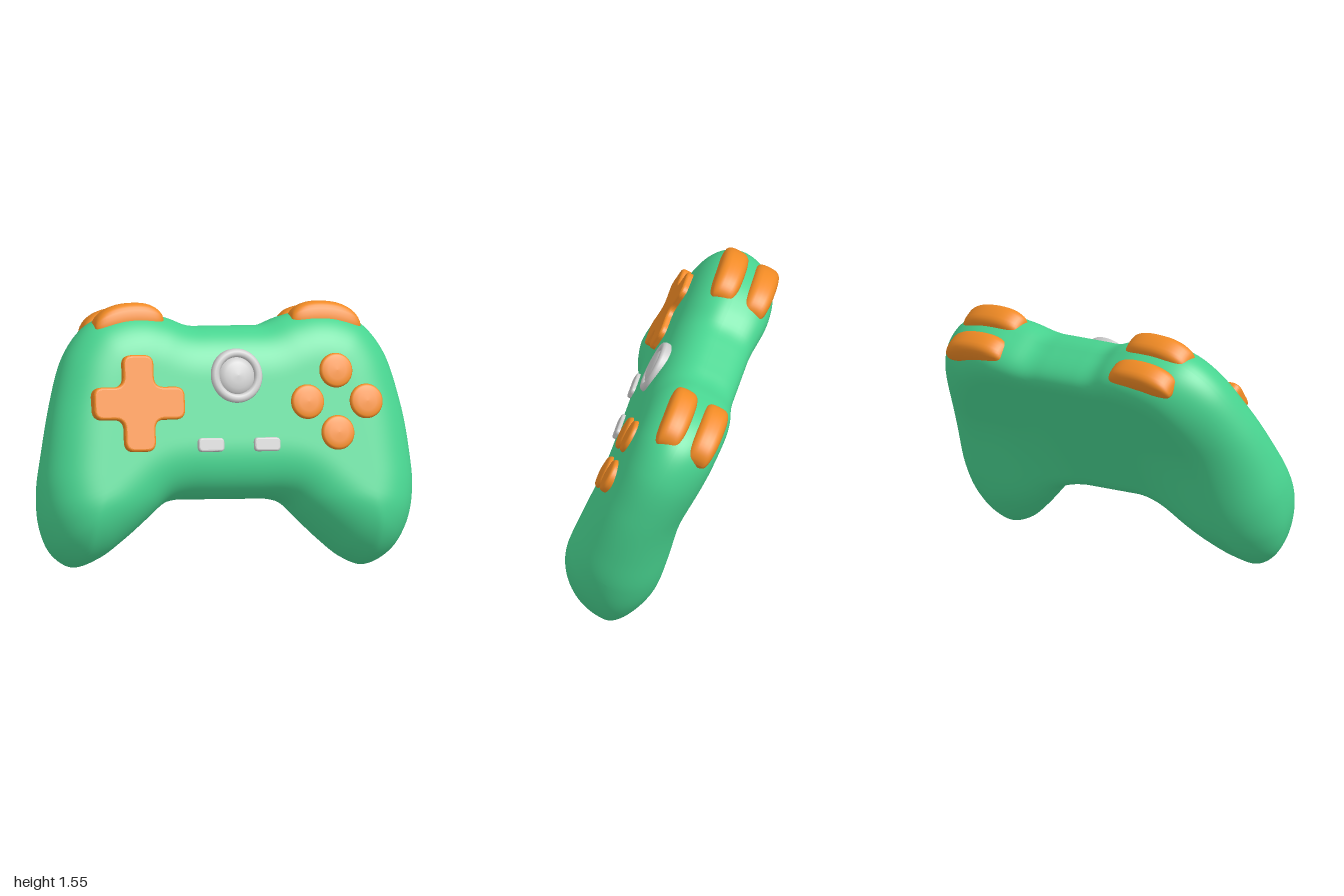
import * as THREE from 'three';

const { clamp, smoothstep, lerp } = THREE.MathUtils;
const paint = (color) => new THREE.MeshStandardMaterial({ color });
const green = paint(0x48d490), orange = paint(0xf08a24), grey = paint(0xcccccc);

// Right half of the body outline, from top centre round the grip to bottom centre
const half = new THREE.CatmullRomCurve3([
  [0, 0.428], [0.1, 0.428], [0.21, 0.431], [0.33, 0.475], [0.48, 0.506], [0.64, 0.493], [0.78, 0.43],
  [0.9, 0.28], [0.985, 0.02], [1.035, -0.25], [1.055, -0.45], [1.03, -0.64], [0.955, -0.78],
  [0.83, -0.85], [0.7, -0.81], [0.57, -0.715], [0.44, -0.6], [0.35, -0.522], [0.27, -0.5], [0.12, -0.498], [0, -0.498],
].map(([x, y]) => new THREE.Vector3(x, y, 0))).getPoints(240);
const tip = half.reduce((best, p, i) => (p.x > half[best].x ? i : best), 0);
const uMax = half[tip].x;
const topLine = half.slice(0, tip + 1);
const bottomLine = half.slice(tip).reverse();

// Height of an outline branch at a given |u|
function heightAt(line, u) {
  for (let i = 1; i < line.length; i++) {
    const a = line[i - 1], b = line[i];
    if (u <= b.x) return lerp(a.y, b.y, clamp((u - a.x) / (b.x - a.x || 1), 0, 1));
  }
  return line[line.length - 1].y;
}

// Shortest distance from a point to the outline
function edgeDistance(u, v) {
  let best = Infinity;
  for (let i = 1; i < half.length; i++) {
    const a = half[i - 1], dx = half[i].x - a.x, dy = half[i].y - a.y;
    const t = clamp(((u - a.x) * dx + (v - a.y) * dy) / (dx * dx + dy * dy || 1), 0, 1);
    best = Math.min(best, Math.hypot(a.x + t * dx - u, a.y + t * dy - v));
  }
  return best;
}

// Seam depth, then the depth, rim radius and roundness power of each face
const seamW = (v) => -0.23 - 0.18 * Math.min(0, v / 0.84) ** 2;
const front = {
  depth: (u, v) => -0.02 - 0.1 * smoothstep(-v, 0.5, 0.95),
  radius: () => 0.3,
  power: () => 2.2,
};
const back = {
  depth: (u, v) => -0.45 - 0.025 * smoothstep(u, 0.15, 0.45) - 0.085 * smoothstep(u, 0.15, 0.7) * smoothstep(-v, 0, 0.6),
  radius: (u) => lerp(0.14, 0.31, smoothstep(u, 0.2, 0.9)),
  power: (u) => lerp(3.2, 2, smoothstep(u, 0.2, 0.9)),
};

// One half shell: swells from the seam to its face over a rounded rim
function shell(face, flip) {
  const NU = 128, NV = 56, pos = [], index = [];
  for (let i = 0; i <= NU; i++) {
    const x = -uMax * Math.cos((Math.PI * i) / NU), u = Math.abs(x), n = face.power(u);
    const lo = heightAt(bottomLine, u), hi = heightAt(topLine, u);
    for (let j = 0; j <= NV; j++) {
      const v = lerp(lo, hi, 0.5 - 0.5 * Math.cos((Math.PI * j) / NV));
      const rim = j === 0 || j === NV || i === 0 || i === NU;
      const d = rim ? 0 : Math.min(edgeDistance(u, v) / face.radius(u), 1);
      const swell = (1 - (1 - d) ** n) ** (1 / n);
      pos.push(x, v, lerp(seamW(v), face.depth(u, v), swell));
      if (i < NU && j < NV) {
        const a = i * (NV + 1) + j, b = a + NV + 1;
        if (flip) index.push(a, b + 1, b, a, a + 1, b + 1);
        else index.push(a, b, b + 1, a, b + 1, a + 1);
      }
    }
  }
  const geo = new THREE.BufferGeometry();
  geo.setAttribute('position', new THREE.Float32BufferAttribute(pos, 3));
  geo.setIndex(index);
  geo.computeVertexNormals();
  return geo;
}

// Polygon with every corner rounded
function roundedShape(points, r) {
  const shape = new THREE.Shape();
  const pts = points.map(([x, y]) => new THREE.Vector2(x, y));
  pts.forEach((p, i) => {
    const prev = pts[(i + pts.length - 1) % pts.length], next = pts[(i + 1) % pts.length];
    const a = p.clone().add(prev.clone().sub(p).setLength(r));
    const b = p.clone().add(next.clone().sub(p).setLength(r));
    if (i) shape.lineTo(a.x, a.y); else shape.moveTo(a.x, a.y);
    shape.quadraticCurveTo(p.x, p.y, b.x, b.y);
  });
  shape.closePath();
  return shape;
}

// Extrusion between two depths, with a rounded bevel kept inside the shape
function slab(shape, from, to, bevel) {
  const geo = new THREE.ExtrudeGeometry(shape, {
    depth: to - from - 2 * bevel, bevelSize: bevel, bevelThickness: bevel,
    bevelOffset: -bevel, bevelSegments: 5, curveSegments: 10,
  });
  return geo.translate(0, 0, from + bevel);
}

// Shoulder button: an oval section swept along the top edge, fading out at both ends
function shoulder(side, depth, drop) {
  const N = 28, M = 24, u0 = 0.365, u1 = 0.755, pos = [], index = [];
  for (let i = 0; i <= N; i++) {
    const t = -Math.cos((Math.PI * i) / N), u = lerp(u0, u1, 0.5 + 0.5 * t);
    const size = (1 - Math.abs(t) ** 3.5) ** (1 / 2.5);
    const y = heightAt(topLine, u) - 0.03 - drop;
    for (let j = 0; j < M; j++) {
      const a = (2 * Math.PI * j) / M, c = Math.cos(a), s = Math.sin(a);
      const wide = 0.074 * Math.sign(c) * Math.abs(c) ** 0.7;
      const tall = 0.075 * Math.sign(s) * Math.abs(s) ** 0.7;
      pos.push(side * u, y + tall * size, depth + wide * (0.5 + 0.5 * size));
      if (i < N) {
        const p = i * M + j, q = i * M + ((j + 1) % M), P = p + M, Q = q + M;
        if (side > 0) index.push(p, P, Q, p, Q, q);
        else index.push(p, Q, P, p, q, Q);
      }
    }
  }
  const geo = new THREE.BufferGeometry();
  geo.setAttribute('position', new THREE.Float32BufferAttribute(pos, 3));
  geo.setIndex(index);
  geo.computeVertexNormals();
  return geo;
}

const lathe = (pts) => new THREE.LatheGeometry(pts.map(([x, y]) => new THREE.Vector2(x, y)), 48).rotateX(Math.PI / 2);

export function createModel() {
  const pad = new THREE.Group();
  pad.name = 'gamepad';
  const add = (name, geo, mat, x = 0, y = 0) => {
    const mesh = new THREE.Mesh(geo, mat);
    mesh.name = name;
    mesh.position.set(x, y, 0);
    pad.add(mesh);
  };

  // Body
  add('frontShell', shell(front, false), green);
  add('backShell', shell(back, true), green);

  // Directional cross
  const L = 0.26, W = 0.088;
  const cross = [[W, W], [W, L], [-W, L], [-W, W], [-L, W], [-L, -W], [-W, -W], [-W, -L], [W, -L], [W, -W], [L, -W], [L, W]];
  add('directionPad', slab(roundedShape(cross, 0.055), -0.08, 0.012, 0.015), orange, -0.566, 0);

  // Four round buttons
  const button = lathe([[0.093, -0.08], [0.093, -0.014], [0.089, -0.004], [0.08, 0.003], [0.05, 0.008], [0, 0.01]]);
  for (const [i, name] of ['leftButton', 'topButton', 'rightButton', 'bottomButton'].entries()) {
    const a = (i * Math.PI) / 2;
    add(name, button, orange, 0.566 + 0.167 * Math.cos(a), 0.167 * Math.sin(a));
  }

  // Centre button: flat ring with a shallow dome
  add('centreRing', lathe([[0.146, -0.08], [0.146, -0.014], [0.14, -0.002], [0.128, 0.004], [0.112, 0.003], [0.1, -0.005], [0.098, -0.03]]), grey, 0, 0.144);
  add('centreDome', lathe([[0.1, -0.015], [0.09, -0.003], [0.07, 0.006], [0.04, 0.012], [0, 0.015]]), grey, 0, 0.144);

  // Two small menu buttons
  const small = slab(roundedShape([[0.074, 0.037], [-0.074, 0.037], [-0.074, -0.037], [0.074, -0.037]], 0.025), -0.07, 0, 0.01);
  for (const s of [-1, 1]) add(s < 0 ? 'rightMenuButton' : 'leftMenuButton', small, grey, s * 0.16, -0.226);

  // Paired shoulder buttons
  for (const s of [-1, 1]) {
    const side = s < 0 ? 'right' : 'left';
    add(side + 'FrontShoulder', shoulder(s, -0.17, 0), orange);
    add(side + 'RearShoulder', shoulder(s, -0.36, 0.01), orange);
  }

  // Tilted resting pose
  const u = new THREE.Vector3(0.885, -0.125, 0.447).normalize();
  const w = u.clone().cross(new THREE.Vector3(0.297, 0.89, -0.341)).normalize();
  pad.quaternion.setFromRotationMatrix(new THREE.Matrix4().makeBasis(u, w.clone().cross(u), w));
  pad.position.set(0.0175, 1.05, 0.1425);
  const model = new THREE.Group();
  model.name = 'model';
  model.add(pad);
  return model;
}
